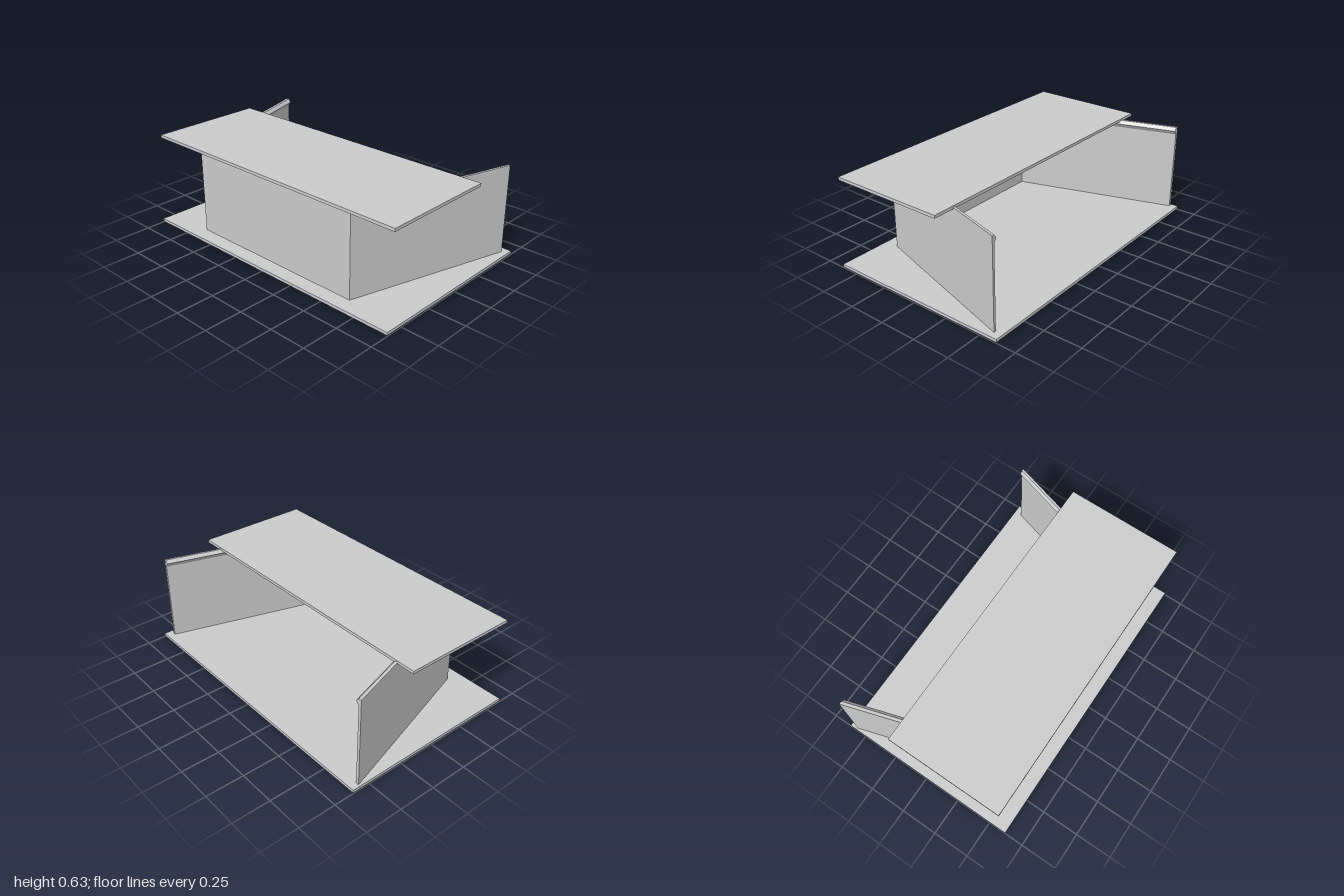
import * as THREE from 'three';

const FRONT = 0.52, BACK = -0.57;

export function createModel() {
  const group = new THREE.Group();
  const material = new THREE.MeshStandardMaterial({ color: 0xcccccc, flatShading: true });

  function add(name, geometry) {
    const mesh = new THREE.Mesh(geometry, material);
    mesh.name = name;
    group.add(mesh);
    return mesh;
  }

  // Box given by its lower and upper limits
  function slab(name, [x0, y0, z0], [x1, y1, z1]) {
    add(name, new THREE.BoxGeometry(x1 - x0, y1 - y0, z1 - z0))
      .position.set((x0 + x1) / 2, (y0 + y1) / 2, (z0 + z1) / 2);
  }

  // Splayed side wall: upright profile with a pointed inner lip, swept from back to front
  function sideWall(name, side, frontX, backX, thick) {
    const profile = [[0, 0.004], [thick, 0.004], [thick, 0.57], [thick * 2, 0.598], [thick, 0.62], [0, 0.62]];
    const shape = new THREE.Shape(profile.map(([x, y]) => new THREE.Vector2(-side * x, y)));
    const geometry = new THREE.ExtrudeGeometry(shape, { depth: 1, bevelEnabled: false });
    const p = geometry.attributes.position;
    for (let i = 0; i < p.count; i++) {
      const t = p.getZ(i);
      p.setX(i, p.getX(i) + side * THREE.MathUtils.lerp(backX, frontX, t));
      p.setZ(i, THREE.MathUtils.lerp(BACK, FRONT, t));
    }
    geometry.computeVertexNormals();
    add(name, geometry);
  }

  // Horizontal boards
  slab('baseBoard', [-1, 0.005, -0.62], [1, 0.025, 0.62]);
  slab('topBoard', [-0.995, 0.61, -0.2], [0.995, 0.63, 0.58]);

  // Upright panels
  slab('frontPanel', [-0.635, 0.004, 0.505], [0.63, 0.612, FRONT]);
  sideWall('leftWall', 1, 0.64, 0.96, 0.016);
  sideWall('rightWall', -1, 0.65, 0.988, 0.02);

  // Trapezoid floor set into the base, just proud of its underside
  const floor = new THREE.Shape([
    new THREE.Vector2(-0.65, -FRONT), new THREE.Vector2(0.64, -FRONT),
    new THREE.Vector2(0.96, -BACK), new THREE.Vector2(-0.988, -BACK),
  ]);
  const floorGeometry = new THREE.ExtrudeGeometry(floor, { depth: 0.02, bevelEnabled: false });
  floorGeometry.rotateX(-Math.PI / 2);
  add('floorPanel', floorGeometry);

  return group;
}
